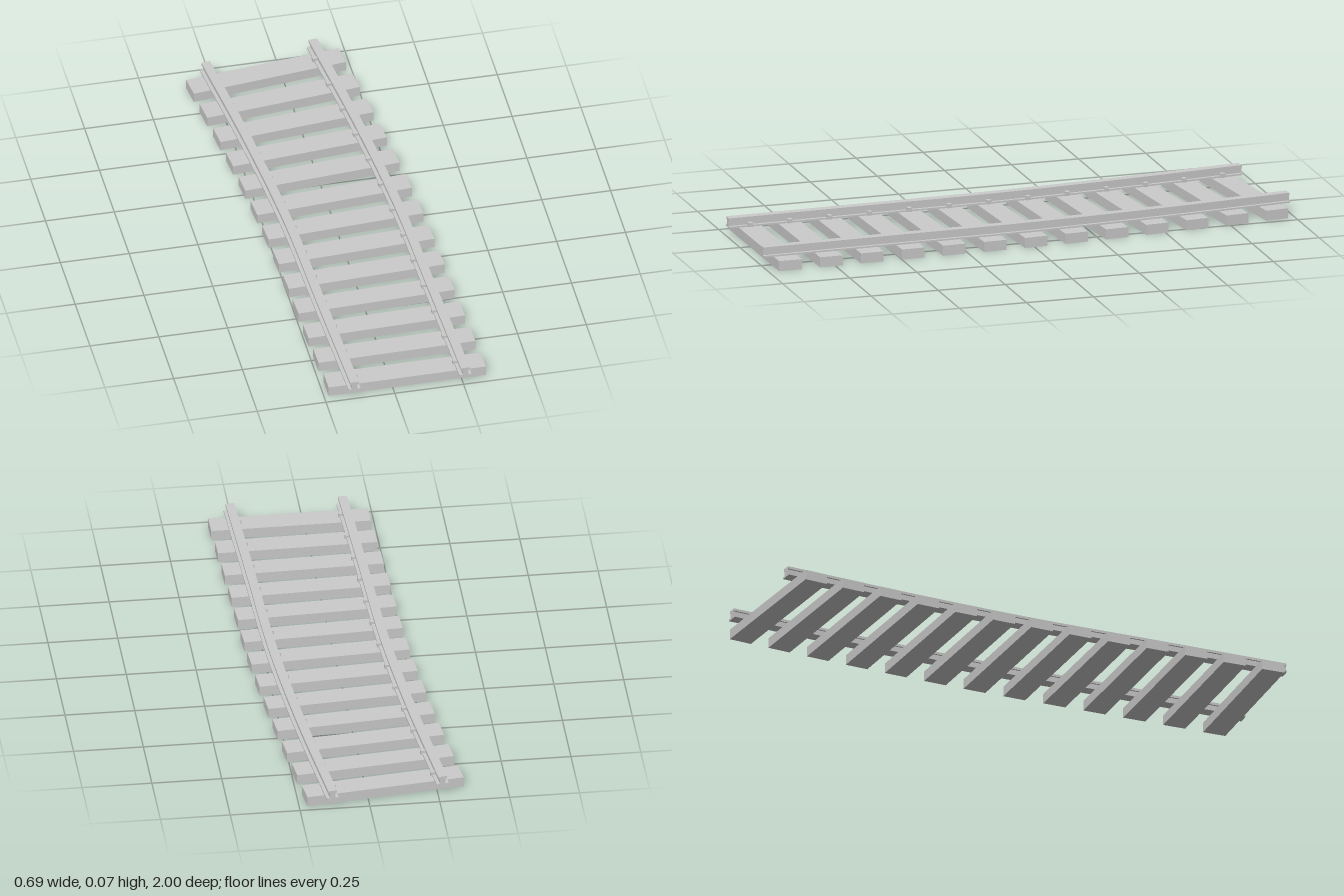
import * as THREE from 'three';

const material = new THREE.MeshStandardMaterial({ color: 0xcccccc, flatShading: true });
const Z_START = 1, Z_END = -0.974, TURN = 0.125;
const TIE_COUNT = 13, TIE_HEIGHT = 0.037, HALF_GAUGE = 0.2015;

// Centre line, evenly spaced in z so the curve parameter is proportional to z
const centreX = [0.0555, 0.0395, 0.0245, -0.0135, -0.067];
const centreLine = new THREE.CatmullRomCurve3(
  centreX.map((x, i) => new THREE.Vector3(x, 0, THREE.MathUtils.lerp(Z_START, Z_END, i / (centreX.length - 1)))),
  false, 'catmullrom', 0.5);

// Heading of the track grows steadily along its length
const heading = t => TURN * t;

function mesh(name, geometry) {
  const m = new THREE.Mesh(geometry, material);
  m.name = name;
  return m;
}

// I-shaped rail section: foot, web and head
function railSection() {
  const half = [[0.022, 0.037], [0.022, 0.043], [0.010, 0.043], [0.010, 0.063], [0.016, 0.063], [0.016, 0.0725]];
  const outline = [...half, ...half.map(([x, y]) => [-x, y]).reverse()];
  return new THREE.Shape(outline.map(([x, y]) => new THREE.Vector2(x, y)));
}

// Straight extrusion bent onto the centre line at a sideways offset
function railGeometry(offset) {
  const geometry = new THREE.ExtrudeGeometry(railSection(), { depth: 1, steps: 24, bevelEnabled: false });
  const pos = geometry.attributes.position;
  const p = new THREE.Vector3();
  for (let i = 0; i < pos.count; i++) {
    const t = 1 - pos.getZ(i);
    const side = pos.getX(i) + offset;
    centreLine.getPoint(t, p);
    pos.setXYZ(i, p.x + side * Math.cos(heading(t)), pos.getY(i), p.z - side * Math.sin(heading(t)));
  }
  geometry.computeVertexNormals();
  return geometry;
}

export function createModel() {
  const track = new THREE.Group();
  track.name = 'railwayTrack';

  // Rails
  track.add(mesh('leftRail', railGeometry(HALF_GAUGE)), mesh('rightRail', railGeometry(-HALF_GAUGE)));

  // Ties, each with a spike on the inner side of both rails
  const tieGeometry = new THREE.BoxGeometry(0.572, TIE_HEIGHT, 0.085);
  const spikeGeometry = new THREE.BoxGeometry(0.018, 0.016, 0.016);
  for (let i = 0; i < TIE_COUNT; i++) {
    const z = THREE.MathUtils.lerp(0.921, -0.897, i / (TIE_COUNT - 1));
    const t = (Z_START - z) / (Z_START - Z_END);
    const tie = new THREE.Group();
    tie.name = 'tieWithSpikes';
    tie.position.copy(centreLine.getPoint(t));
    tie.rotation.y = heading(t);

    const beam = mesh('tie', tieGeometry);
    beam.position.y = TIE_HEIGHT / 2;
    tie.add(beam);
    for (const side of [-1, 1]) {
      const spike = mesh('spike', spikeGeometry);
      spike.position.set(side * 0.183, 0.044, 0);
      tie.add(spike);
    }
    track.add(tie);
  }
  return track;
}
